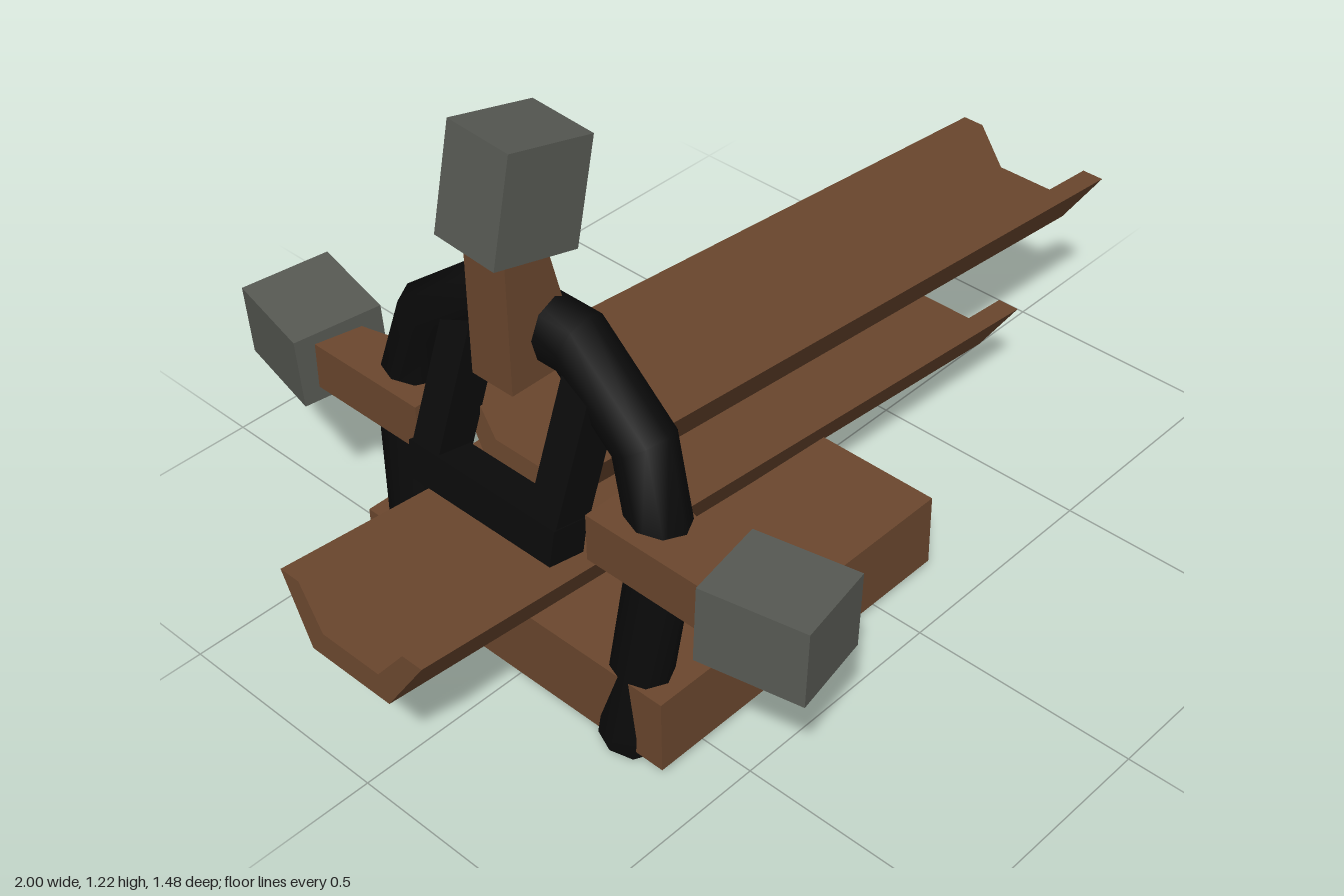
import * as THREE from 'three';

const wood = new THREE.MeshStandardMaterial({ color: 0x6b472e });
wood.name = 'brown wood';
const stone = new THREE.MeshStandardMaterial({ color: 0x575953 });
stone.name = 'grey stone';
const iron = new THREE.MeshStandardMaterial({ color: 0x0a0a0a });
iron.name = 'black iron';

function add(parent, name, geometry, material, x = 0, y = 0, z = 0) {
  const mesh = new THREE.Mesh(geometry, material);
  mesh.name = name;
  mesh.position.set(x, y, z);
  parent.add(mesh);
  return mesh;
}

const polygon = (pts) => new THREE.Shape(pts.map(([x, y]) => new THREE.Vector2(x, y)));

// Open channel running along +x, origin at the top of its rear end
function troughGeometry(length) {
  const half = [[0.19, 0], [0.14, 0], [0.075, -0.082]];
  const profile = [
    ...half,
    ...half.slice().reverse().map(([x, y]) => [-x, y]),
    [-0.104, -0.132], [0.104, -0.132],
  ];
  const g = new THREE.ExtrudeGeometry(polygon(profile), { depth: length, bevelEnabled: false });
  return g.rotateY(Math.PI / 2).rotateZ(-0.0875);
}

// Eight-sided bent tube in a plane leaning slightly towards +x
function archGeometry() {
  const side = [[0.284, 0.005], [0.34, 0.485], [0.282, 0.675], [0.115, 0.803]];
  const path = [...side, ...side.slice().reverse().map(([z, y]) => [-z, y])]
    .map(([z, y]) => new THREE.Vector2(z, y));
  const n = 8, rx = 0.056, rn = 0.066;
  const pos = [], index = [];
  path.forEach((p, i) => {
    const a = p.clone().sub(path[Math.max(i - 1, 0)]).normalize();
    const b = path[Math.min(i + 1, path.length - 1)].clone().sub(p).normalize();
    const t = a.clone().add(b).normalize();
    const miter = 1 / Math.max(t.dot(i ? a : b), 0.5);
    for (let j = 0; j < n; j++) {
      const ang = (j / n) * Math.PI * 2;
      const out = rn * miter * Math.sin(ang);
      const z = p.x + t.y * out;
      const y = Math.max(p.y - t.x * out, 0);
      pos.push(-0.587 + 0.0885 * y + rx * Math.cos(ang), y, z);
    }
  });
  for (let i = 0; i < path.length - 1; i++) {
    for (let j = 0; j < n; j++) {
      const k = (j + 1) % n;
      const a = i * n + j, b = i * n + k, c = a + n, d = b + n;
      index.push(a, c, b, b, c, d);
    }
  }
  // Caps on both feet with their own vertices
  [0, path.length - 1].forEach((ring, end) => {
    const base = pos.length / 3;
    pos.push(...pos.slice(ring * n * 3, (ring + 1) * n * 3));
    for (let j = 1; j < n - 1; j++) {
      if (end) index.push(base, base + j + 1, base + j);
      else index.push(base, base + j, base + j + 1);
    }
  });
  const g = new THREE.BufferGeometry();
  g.setAttribute('position', new THREE.Float32BufferAttribute(pos, 3));
  g.setIndex(index);
  g.computeVertexNormals();
  return g;
}

// Wedge-shaped wooden post carrying a tilted stone block
function createHammer(name, turn) {
  const hammer = new THREE.Group();
  hammer.name = name;
  const post = new THREE.ExtrudeGeometry(
    polygon([[-0.623, 0.225], [-0.455, 0.225], [-0.537, 0.55], [-0.623, 0.55]]),
    { depth: 0.104, bevelEnabled: false },
  ).translate(0, 0, -0.052);
  add(hammer, 'post', post, wood);
  const block = add(hammer, 'stoneBlock', new THREE.BoxGeometry(0.19, 0.22, 0.16), stone, -0.545, 0.612, 0);
  block.rotation.set(0, -0.06, -0.21);
  hammer.position.y = 0.485;
  hammer.rotation.x = turn;
  return hammer;
}

export function createModel() {
  const model = new THREE.Group();
  const body = new THREE.Group();
  body.name = 'launcher';
  body.position.z = -0.01;
  model.add(body);

  // Base and the two sloping channels
  add(body, 'base', new THREE.BoxGeometry(0.782, 0.166, 0.803), wood, -0.231, 0.102, 0);
  add(body, 'lowerTrough', troughGeometry(1.71), wood, -0.989, 0.4, 0);
  add(body, 'upperTrough', troughGeometry(1.555), wood, -0.553, 0.587, 0);

  // Iron arch
  add(body, 'arch', archGeometry(), iron);

  // Sling hanging from the arch behind the upper channel
  const sling = new THREE.Group();
  sling.name = 'sling';
  body.add(sling);
  const top = new THREE.Vector2(-0.515, 0.77), low = new THREE.Vector2(-0.63, 0.47);
  const span = top.clone().sub(low);
  for (const s of [1, -1]) {
    const strut = add(sling, s > 0 ? 'leftStrut' : 'rightStrut',
      new THREE.BoxGeometry(0.085, span.length(), 0.072), iron,
      (top.x + low.x) / 2, (top.y + low.y) / 2, s * 0.154);
    strut.rotation.z = span.angle() - Math.PI / 2;
  }
  const bar = add(sling, 'crossbar', new THREE.BoxGeometry(0.085, 0.075, 0.385), iron, -0.635, 0.462, 0);
  bar.rotation.z = -0.2;

  // Three hammers around the arch
  body.add(createHammer('topHammer', 0));
  body.add(createHammer('frontHammer', Math.PI / 2));
  body.add(createHammer('backHammer', -Math.PI / 2));

  return model;
}
